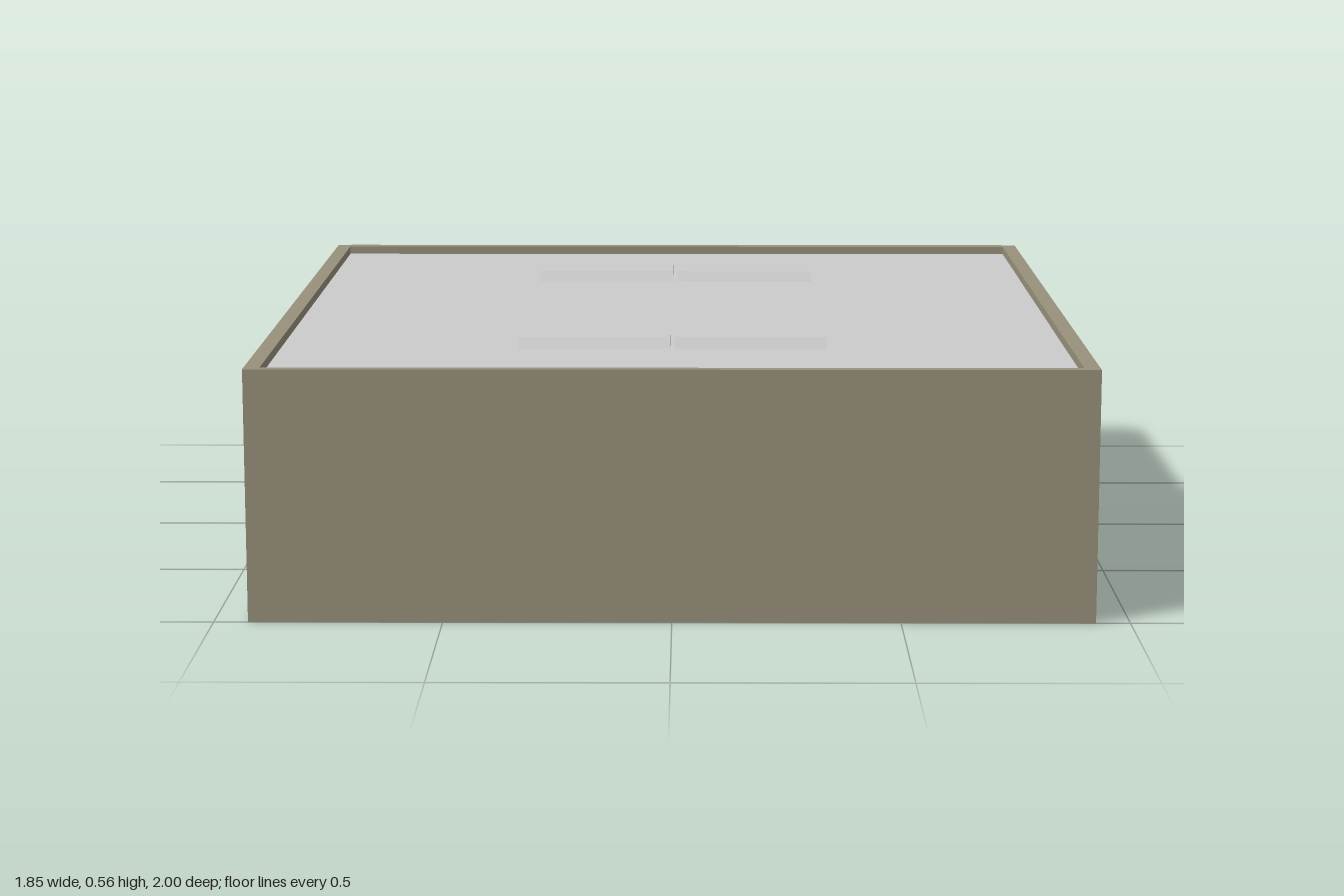
import * as THREE from 'three';

const H = 0.56;          // frame height
const W = 0.925;         // half width
const T = 0.035;         // panel thickness
const FLOOR = 0.54;      // top of the inner slab

export function createModel() {
  const group = new THREE.Group();
  const frameMat = new THREE.MeshStandardMaterial({ color: 0x98917c });
  const greyMat = new THREE.MeshStandardMaterial({ color: 0xcccccc });

  // Box given by its min and max corners
  function box(name, mat, [x0, y0, z0], [x1, y1, z1]) {
    const mesh = new THREE.Mesh(new THREE.BoxGeometry(x1 - x0, y1 - y0, z1 - z0), mat);
    mesh.position.set((x0 + x1) / 2, (y0 + y1) / 2, (z0 + z1) / 2);
    mesh.name = name;
    group.add(mesh);
  }

  // Outer frame: full-width front, two sides, back panel set between them and slightly proud
  const inner = W - T;
  box('frontPanel', frameMat, [-W, 0, 0.975], [W, H, 1]);
  box('leftPanel', frameMat, [inner, 0, -0.99], [W, H, 0.975]);
  box('rightPanel', frameMat, [-W, 0, -0.99], [-inner, H, 0.975]);
  box('backPanel', frameMat, [-inner, 0, -1], [inner, H, -0.965]);

  // Grey slab filling the frame, sunk a little below the rim
  box('innerSlab', greyMat, [-inner, 0.002, -0.965], [inner, FLOOR, 0.975]);

  // Raised pads: bevelled along the long edges, with upright ends
  const rise = 0.565 - FLOOR, half = 0.08, bevel = 0.015, length = 0.345;
  const profile = new THREE.Shape([
    new THREE.Vector2(-half, 0),
    new THREE.Vector2(half, 0),
    new THREE.Vector2(half - bevel, rise),
    new THREE.Vector2(-half + bevel, rise),
  ]);
  const padGeo = new THREE.ExtrudeGeometry(profile, { depth: length, bevelEnabled: false });
  padGeo.rotateY(Math.PI / 2); // extrusion now runs along +x

  for (const [row, z] of [['front', 0.53], ['back', -0.523]]) {
    for (const [side, x] of [['Left', 0.005], ['Right', -0.005 - length]]) {
      const pad = new THREE.Mesh(padGeo, greyMat);
      pad.position.set(x, FLOOR, z);
      pad.name = `${row}${side}Pad`;
      group.add(pad);
    }
  }
  return group;
}
